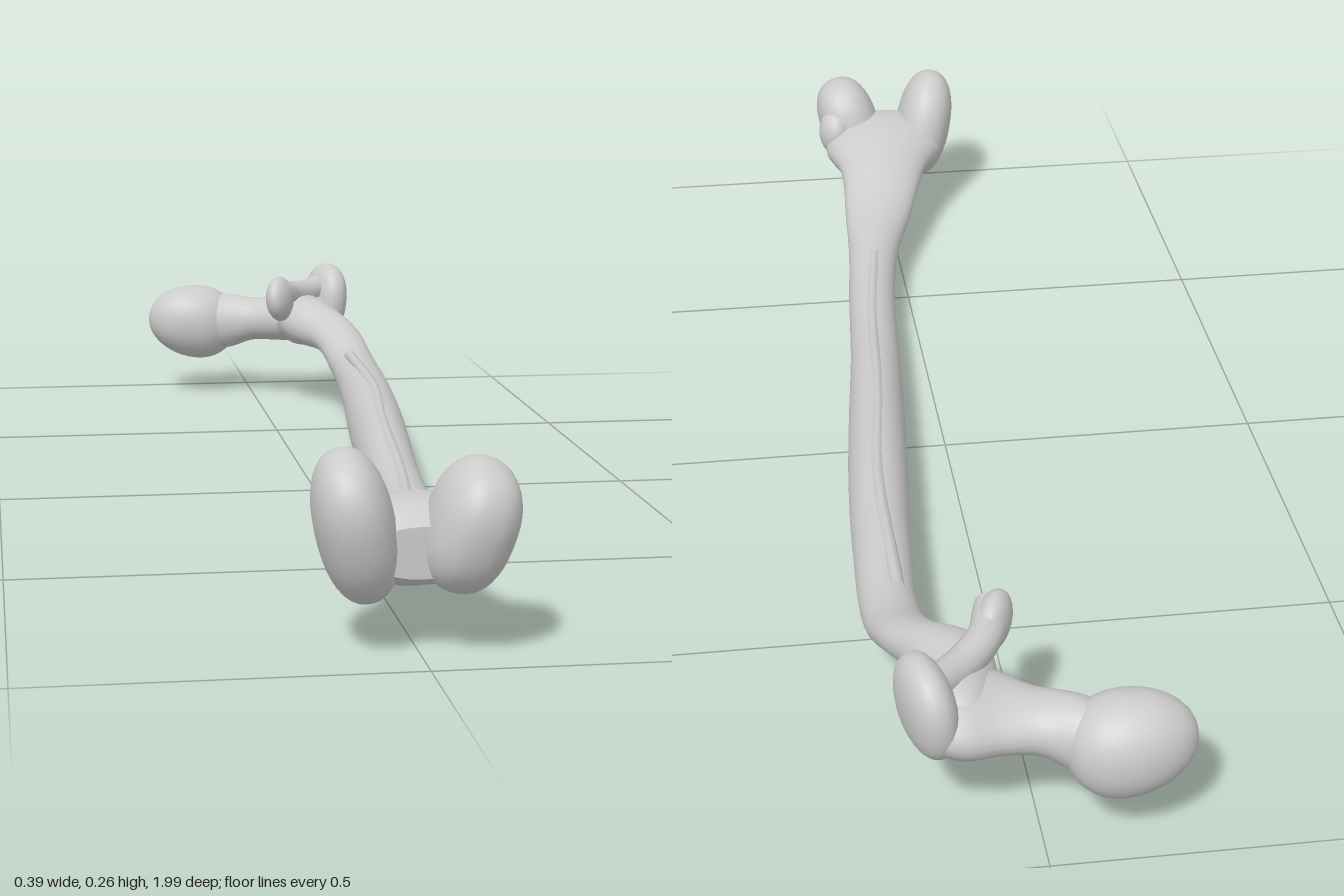
import * as THREE from 'three';

const material = new THREE.MeshStandardMaterial({ color: 0xcccccc, side: THREE.DoubleSide });

function addMesh(group, name, geometry) {
  const mesh = new THREE.Mesh(geometry, material);
  mesh.name = name;
  group.add(mesh);
  return mesh;
}

// Smooth skin over oval sections [t, aMin, aMax, bMin, bMax]; a = x, b = y, t = z
function loft(sections, sides = 28, steps = 60) {
  const times = sections.map((s) => s[0]);
  const spline = new THREE.CubicInterpolant(
    new Float32Array(times), new Float32Array(sections.flatMap((s) => s.slice(1))), 4);
  const t0 = times[0], t1 = times[times.length - 1];
  const positions = [], index = [];
  for (let k = 0; k <= steps; k++) {
    const t = t0 + ((t1 - t0) * (1 - Math.cos((Math.PI * k) / steps))) / 2;
    const [a0, a1, b0, b1] = spline.evaluate(t);
    for (let i = 0; i < sides; i++) {
      const w = (i / sides) * Math.PI * 2;
      positions.push((a0 + a1) / 2 + (Math.cos(w) * (a1 - a0)) / 2,
        (b0 + b1) / 2 + (Math.sin(w) * (b1 - b0)) / 2, t);
      if (k < steps) {
        const p = k * sides + i, q = k * sides + ((i + 1) % sides);
        index.push(p, q, q + sides, p, q + sides, p + sides);
      }
    }
  }
  // End caps
  for (let i = 1; i < sides - 1; i++) {
    const e = steps * sides;
    index.push(0, i + 1, i, e, e + i, e + i + 1);
  }
  const g = new THREE.BufferGeometry();
  g.setAttribute('position', new THREE.Float32BufferAttribute(positions, 3));
  g.setIndex(index);
  g.computeVertexNormals();
  return g;
}

// Rounded lump: an ellipsoid pushed towards a box by "square" (1 = plain ellipsoid)
function lump(size, square = 1, taper = 0) {
  const g = new THREE.SphereGeometry(1, 32, 24);
  const p = g.attributes.position;
  const bulge = (v) => Math.sign(v) * Math.abs(v) ** square;
  for (let i = 0; i < p.count; i++) {
    const x = bulge(p.getX(i)), y = bulge(p.getY(i)), z = bulge(p.getZ(i));
    const s = 1 + taper * x;
    p.setXYZ(i, x * size[0], y * size[1] * s, z * size[2] * s);
  }
  g.computeVertexNormals();
  return g;
}

function addLump(group, name, at, size, rot = [0, 0, 0], square = 1, taper = 0) {
  const mesh = addMesh(group, name, lump(size, square, taper));
  mesh.position.set(...at);
  mesh.rotation.set(...rot);
}

export function createModel() {
  const bone = new THREE.Group();
  bone.name = 'thighBone';

  // Bowed shaft, flaring towards the knee end
  addMesh(bone, 'shaft', loft([
    [-0.93, 0.08, 0.12, 0.14, 0.18],
    [-0.9, 0.06, 0.14, 0.115, 0.205],
    [-0.82, 0.04, 0.138, 0.108, 0.205],
    [-0.75, 0.045, 0.153, 0.115, 0.2],
    [-0.69, 0.09, 0.178, 0.108, 0.175],
    [-0.6, 0.11, 0.192, 0.07, 0.14],
    [-0.4, 0.102, 0.188, 0.04, 0.13],
    [-0.2, 0.083, 0.175, 0.015, 0.126],
    [0, 0.065, 0.155, 0.003, 0.12],
    [0.2, 0.05, 0.132, 0.018, 0.105],
    [0.4, 0.035, 0.115, 0.024, 0.1],
    [0.555, 0.01, 0.1, 0.037, 0.108],
    [0.66, -0.025, 0.095, 0.06, 0.125],
    [0.77, -0.065, 0.092, 0.09, 0.17],
    [0.85, -0.108, 0.112, 0.082, 0.19],
    [0.91, -0.1, 0.1, 0.085, 0.185],
    [0.94, -0.07, 0.07, 0.1, 0.165],
  ], 28, 100));

  // Knee end: two condyles with a notch between them
  addLump(bone, 'innerCondyle', [-0.077, 0.16, 0.9], [0.05, 0.1, 0.078], [0.3, 0, 0.22], 0.88);
  addLump(bone, 'outerCondyle', [0.062, 0.162, 0.92], [0.054, 0.085, 0.073], [0.25, 0, -0.3], 0.85);
  addLump(bone, 'outerEpicondyle', [0.09, 0.16, 0.88], [0.032, 0.045, 0.04]);
  addLump(bone, 'kneeGroove', [-0.01, 0.12, 0.88], [0.06, 0.04, 0.06]);

  // Neck between hip head and trochanter, lofted along x (sections use -z)
  const neck = addMesh(bone, 'neck', loft([
    [-0.1, 0.89, 0.97, 0.1, 0.18],
    [-0.05, 0.865, 0.965, 0.09, 0.195],
    [0, 0.84, 0.942, 0.108, 0.19],
    [0.05, 0.8, 0.942, 0.11, 0.195],
    [0.1, 0.79, 0.95, 0.11, 0.205],
    [0.145, 0.83, 0.94, 0.13, 0.2],
  ]));
  neck.rotation.y = Math.PI / 2;

  // Egg-shaped hip head with its small pit rim
  addLump(bone, 'hipHead', [-0.112, 0.14, -0.935], [0.086, 0.07, 0.064], [0, 0, -0.15], 0.95, 0.1);

  // Trochanters and the crest joining them
  addLump(bone, 'greaterTrochanter', [0.142, 0.184, -0.885], [0.034, 0.07, 0.066], [0, 0.25, -0.12], 0.9);
  addLump(bone, 'lesserTrochanter', [0.037, 0.206, -0.75], [0.024, 0.042, 0.045], [0, -0.4, 0.1]);
  const crest = new THREE.CatmullRomCurve3([
    [0.036, 0.215, -0.73], [0.055, 0.21, -0.79], [0.095, 0.205, -0.84], [0.145, 0.215, -0.89],
  ].map((p) => new THREE.Vector3(...p)));
  addMesh(bone, 'trochanterCrest', new THREE.TubeGeometry(crest, 24, 0.024, 12));

  // Low ridge along the back of the shaft
  const ridge = new THREE.CatmullRomCurve3([
    [0.14, 0.128, -0.55], [0.135, 0.121, -0.25], [0.108, 0.112, 0], [0.085, 0.094, 0.3], [0.06, 0.095, 0.5],
  ].map((p) => new THREE.Vector3(...p)));
  addMesh(bone, 'shaftRidge', new THREE.TubeGeometry(ridge, 40, 0.01, 8));

  return bone;
}
